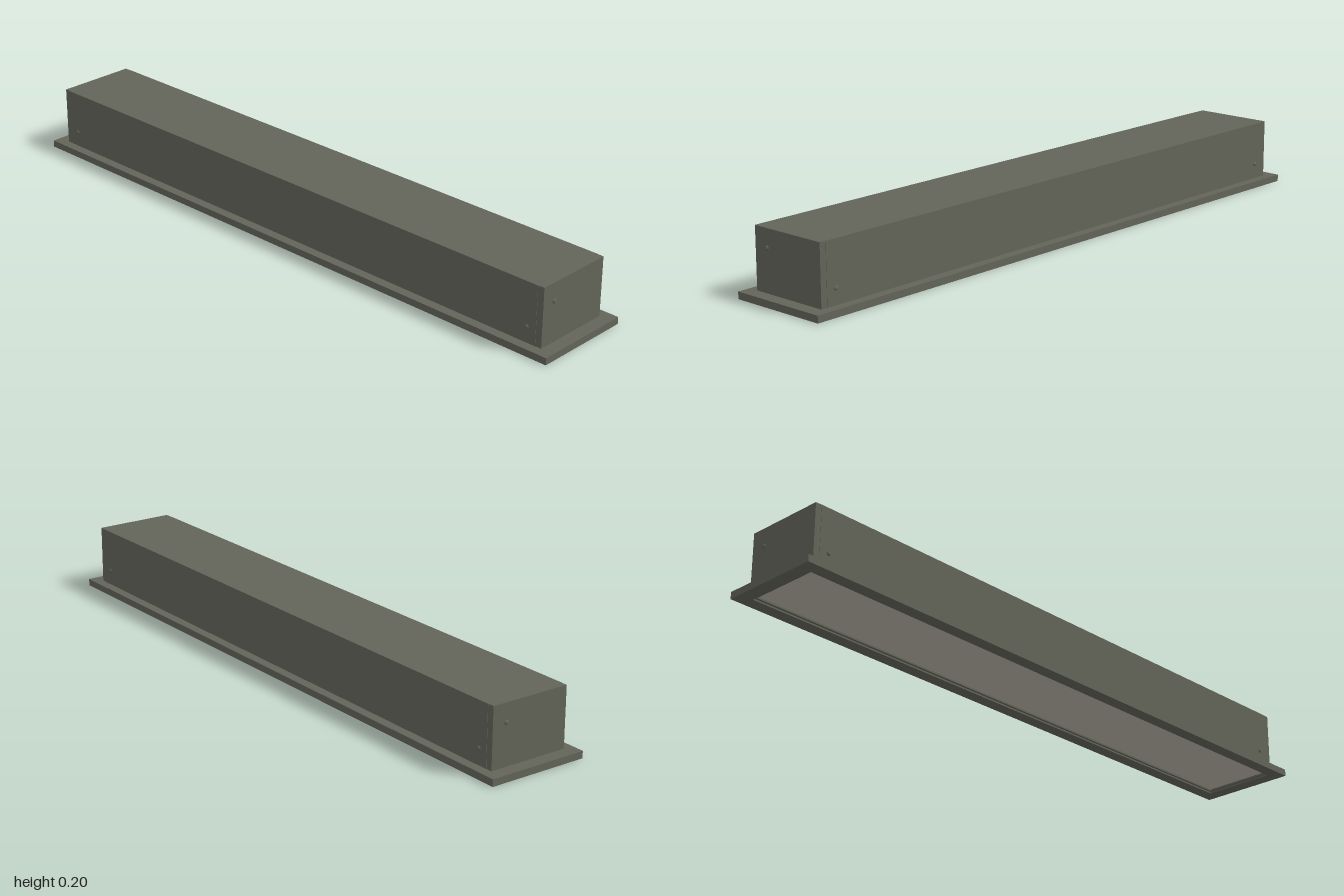
import * as THREE from 'three';

const oliveMetal = new THREE.MeshStandardMaterial({ name: 'olive metal', color: 0x636559 });
const diffuserGrey = new THREE.MeshStandardMaterial({ name: 'warm grey diffuser', color: 0xbab4a8 });

function rectangle(Type, halfX, halfZ) {
  const r = new Type();
  r.moveTo(-halfX, -halfZ);
  r.lineTo(halfX, -halfZ);
  r.lineTo(halfX, halfZ);
  r.lineTo(-halfX, halfZ);
  r.closePath();
  return r;
}

export function createModel() {
  const model = new THREE.Group();
  model.name = 'recessedLinearLight';

  function add(name, geometry, material, x = 0, y = 0, z = 0) {
    const mesh = new THREE.Mesh(geometry, material);
    mesh.name = name;
    mesh.position.set(x, y, z);
    model.add(mesh);
    return mesh;
  }

  // Rectangular frames lying flat, open in the middle
  function frame(name, outX, outZ, inX, inZ, y, height) {
    const shape = rectangle(THREE.Shape, outX, outZ);
    shape.holes.push(rectangle(THREE.Path, inX, inZ));
    const geometry = new THREE.ExtrudeGeometry(shape, { depth: height, bevelEnabled: false });
    geometry.rotateX(-Math.PI / 2);
    add(name, geometry, oliveMetal, 0, y, 0);
  }
  frame('trimFlange', 1, 0.155, 0.957, 0.115, 0, 0.021);
  frame('innerLip', 0.957, 0.115, 0.95, 0.108, 0.005, 0.016);

  // Long housing and the recessed diffuser beneath it
  add('housing', new THREE.BoxGeometry(1.88, 0.18, 0.252), oliveMetal, 0, 0.11, 0);
  add('diffuser', new THREE.BoxGeometry(1.9, 0.008, 0.216), diffuserGrey, 0, 0.014, 0);

  // End caps, with a domed screw on each end and on each side corner
  const screw = new THREE.SphereGeometry(0.007, 16, 6, 0, Math.PI * 2, 0, Math.PI / 2);
  screw.scale(1, 0.6, 1);
  for (const s of [-1, 1]) {
    add('endCap', new THREE.BoxGeometry(0.02, 0.18, 0.25), oliveMetal, s * 0.95, 0.11, 0);
    add('endScrew', screw, oliveMetal, s * 0.96, 0.145, s * 0.08).rotation.z = -s * Math.PI / 2;
    for (const f of [-1, 1]) {
      add('sideScrew', screw, oliveMetal, s * 0.91, 0.068, f * 0.126).rotation.x = f * Math.PI / 2;
    }
  }
  return model;
}
